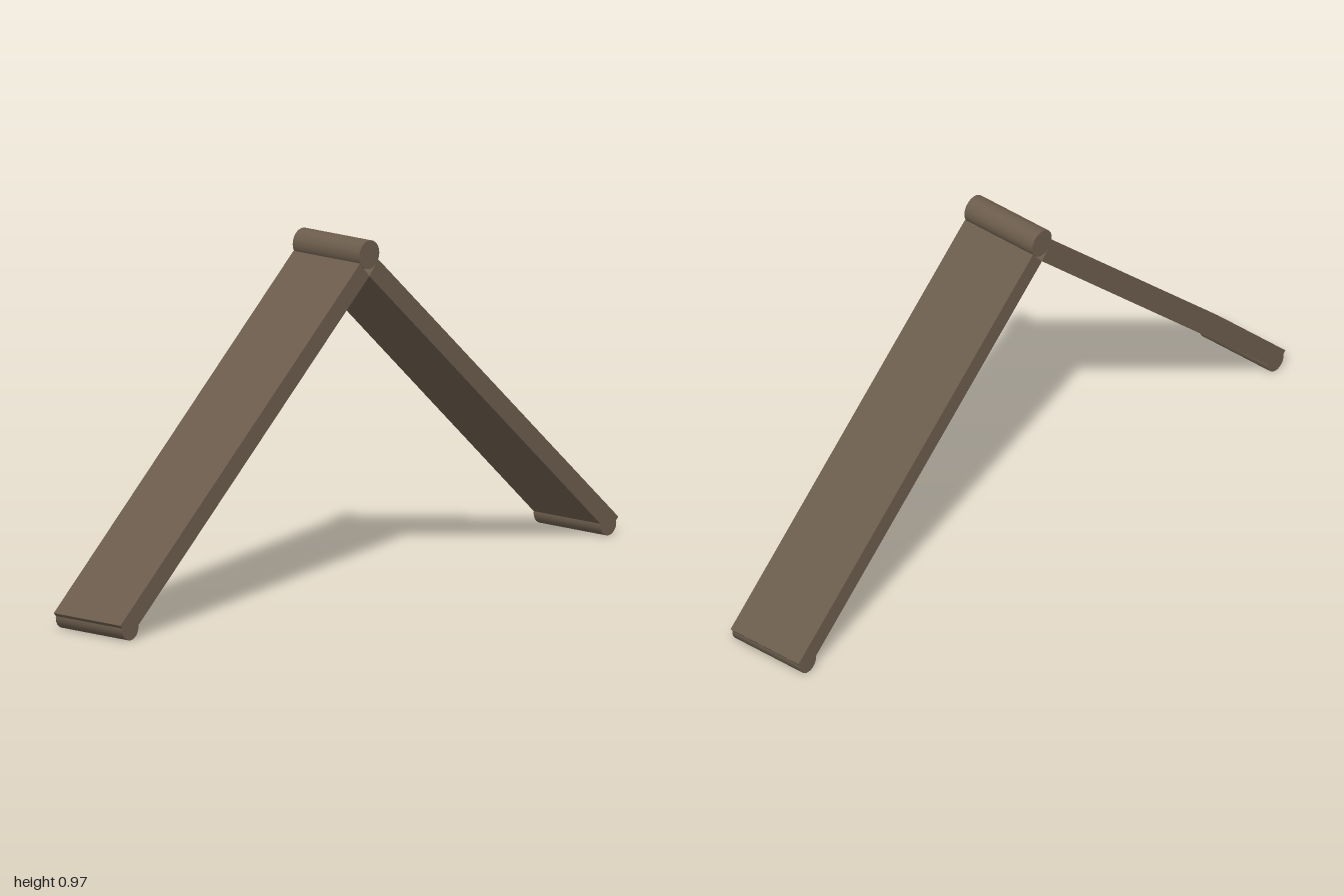
import * as THREE from 'three';

const WIDTH = 0.25, THICK = 0.055, LENGTH = 1.296, CAP = 0.106;
const APEX = 0.873, SLOPE = THREE.MathUtils.degToRad(42);

export function createModel() {
  const model = new THREE.Group();
  const material = new THREE.MeshStandardMaterial({ color: 0x6b5c4c });

  const add = (parent, name, geometry, x, y, z) => {
    const mesh = new THREE.Mesh(geometry, material);
    mesh.name = name;
    mesh.position.set(x, y, z);
    parent.add(mesh);
    return mesh;
  };
  // round bar lying across the width
  const bar = (radius) => new THREE.CylinderGeometry(radius, radius, WIDTH, 32).rotateZ(Math.PI / 2);

  // hinge barrel along the ridge
  add(model, 'hingeBarrel', bar(0.04), 0, 0.933, 0);

  // two mirrored halves, each a sloping panel with a round foot
  for (const [name, turn] of [['frontLeg', 0], ['backLeg', Math.PI]]) {
    const leg = new THREE.Group();
    leg.name = name;
    leg.rotation.y = turn;

    const slope = new THREE.Group();
    slope.name = name + 'Panel';
    slope.position.y = APEX;
    slope.rotation.x = SLOPE;
    add(slope, 'hingeLeaf', new THREE.BoxGeometry(WIDTH, THICK, CAP), 0, THICK / 2, CAP / 2);
    add(slope, 'panel', new THREE.BoxGeometry(WIDTH, THICK, LENGTH - CAP), 0, THICK / 2, (LENGTH + CAP) / 2);
    leg.add(slope);

    add(leg, 'foot', bar(0.032), 0, 0.032, 0.96);
    model.add(leg);
  }
  return model;
}
